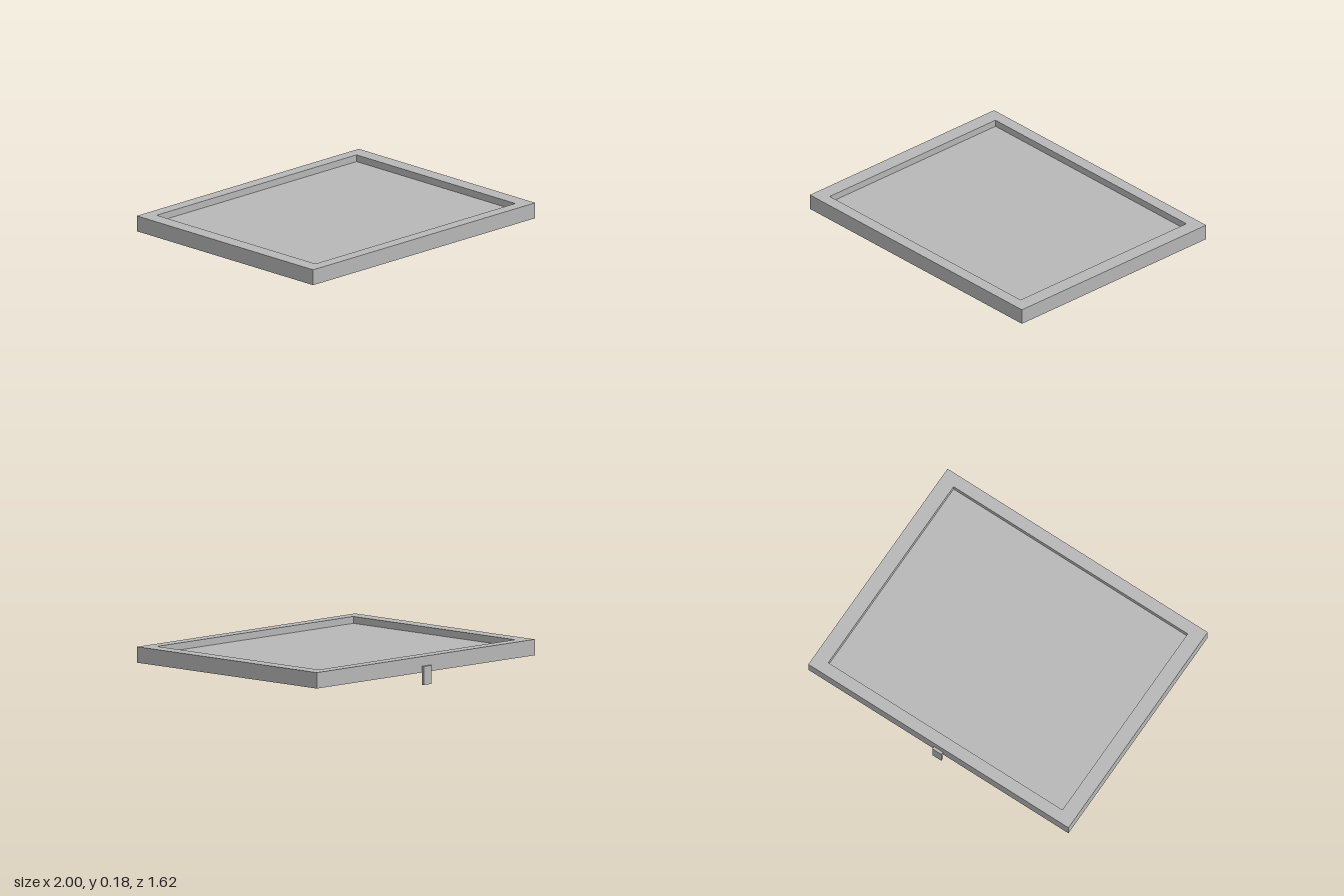
import * as THREE from 'three';

export function createModel() {
  const model = new THREE.Group();
  model.name = 'tray';
  const grey = new THREE.MeshStandardMaterial({ color: 0xb8b8b8 });
  grey.name = 'plain grey';

  const add = (name, geometry, x, y, z) => {
    const mesh = new THREE.Mesh(geometry, grey);
    mesh.name = name;
    mesh.position.set(x, y, z);
    model.add(mesh);
    return mesh;
  };

  // Rectangle outline centred on the origin
  const rectangle = (Type, w, d) => new Type([
    new THREE.Vector2(-w / 2, -d / 2),
    new THREE.Vector2(w / 2, -d / 2),
    new THREE.Vector2(w / 2, d / 2),
    new THREE.Vector2(-w / 2, d / 2),
  ]);

  const bottom = 0.079, floorTop = 0.137, top = 0.182, centreZ = 0.009;

  // Raised rim around the recess, spanning the full height of the tray
  const outline = rectangle(THREE.Shape, 2, 1.6);
  outline.holes.push(rectangle(THREE.Path, 1.8, 1.44));
  const rim = new THREE.ExtrudeGeometry(outline, { depth: top - bottom, bevelEnabled: false });
  rim.rotateX(-Math.PI / 2);
  add('rim', rim, 0, bottom, centreZ);

  // Recessed floor, flush with the underside of the rim
  add('floor', new THREE.BoxGeometry(1.8, floorTop - bottom, 1.44), 0, (bottom + floorTop) / 2, centreZ);

  // Small tab hanging from the middle of the back edge
  add('backTab', new THREE.BoxGeometry(0.07, 0.12, 0.018), 0, 0.06, -0.8);

  return model;
}
